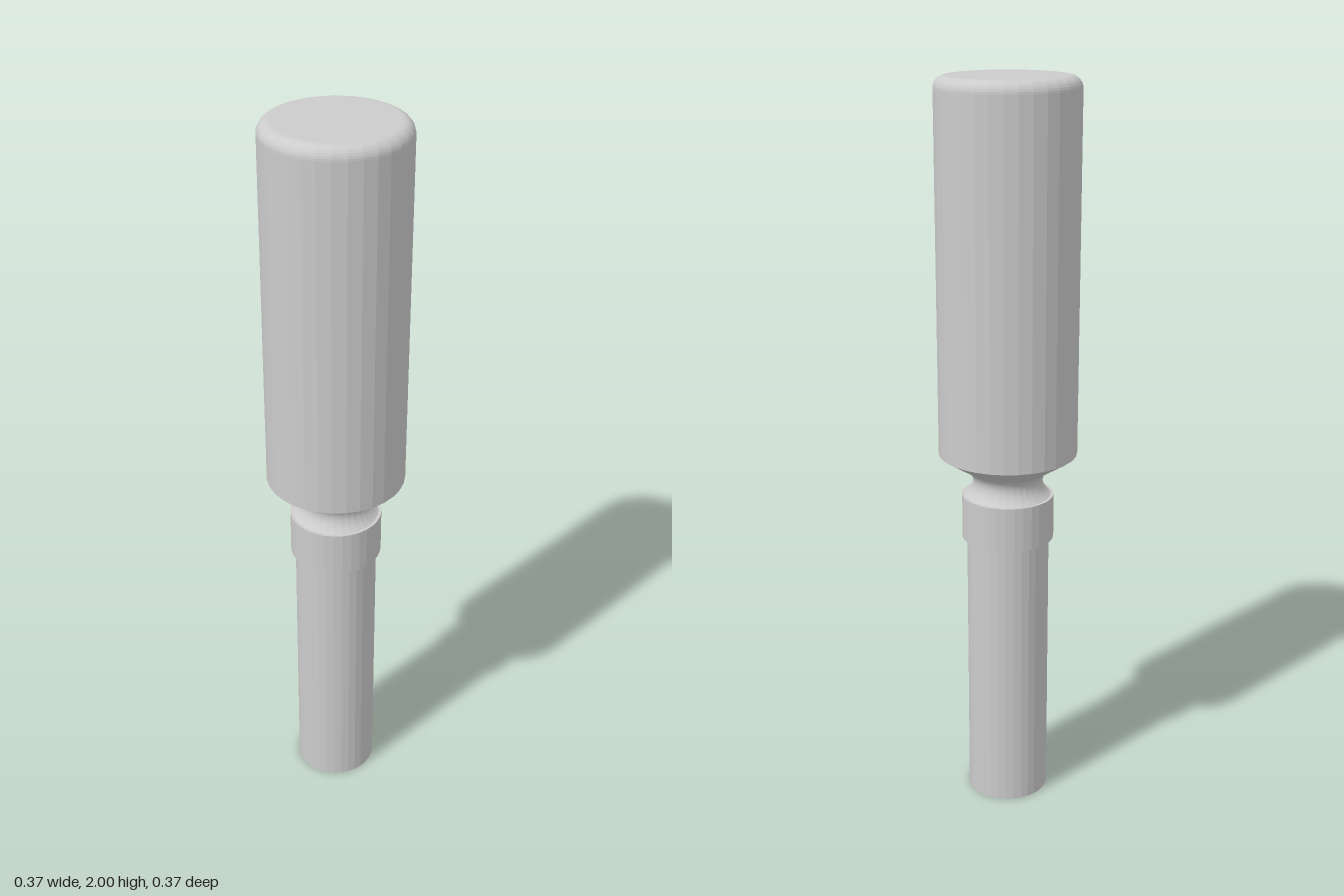
import * as THREE from 'three';

const SEGMENTS = 32;
const v = (r, y) => new THREE.Vector2(r, y);

// Faceted turned part from a profile listed bottom to top
function turned(name, profile) {
  const material = new THREE.MeshStandardMaterial({ color: 0xcccccc, flatShading: true });
  const mesh = new THREE.Mesh(new THREE.LatheGeometry(profile, SEGMENTS), material);
  mesh.name = name;
  return mesh;
}

export function createModel() {
  const group = new THREE.Group();
  group.name = 'turnedPin';

  // Slim lower shaft with closed base
  group.add(turned('shaft', [v(0, 0), v(0.112, 0), v(0.112, 0.773)]));

  // Collar around the top of the shaft
  group.add(turned('collar', [v(0.112, 0.773), v(0.125, 0.773), v(0.125, 0.896), v(0.117, 0.896)]));

  // Concave neck flaring into a cone under the head
  const waist = new THREE.CubicBezierCurve(
    v(0.117, 0.896), v(0.088, 0.92), v(0.088, 0.952), v(0.113, 0.968));
  group.add(turned('neck', [...waist.getPoints(12), v(0.187, 1.015)]));

  // Thick head with a rounded top rim
  const R = 0.187, H = 2, fillet = 0.032, steps = 8;
  const head = [v(R, 1.015)];
  for (let i = 0; i <= steps; i++) {
    const a = (i / steps) * Math.PI / 2;
    head.push(v(R - fillet + fillet * Math.cos(a), H - fillet + fillet * Math.sin(a)));
  }
  head.push(v(0, H));
  group.add(turned('head', head));

  return group;
}
